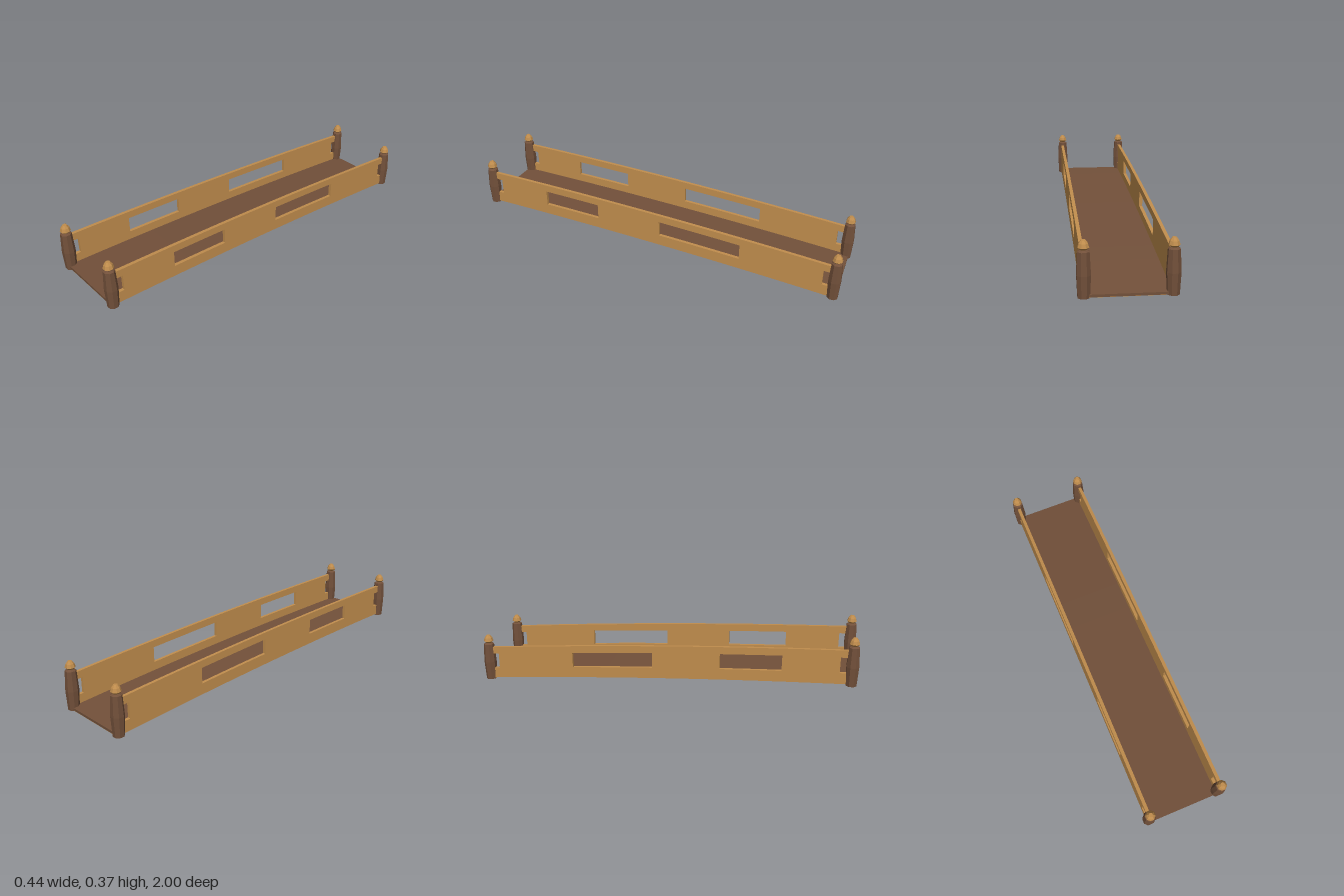
import * as THREE from 'three';

const paint = (name, color) => Object.assign(new THREE.MeshStandardMaterial({ color }), { name });

// Height of the gently arched underside at depth z
const rise = (z) => 0.083 + 0.066 * z - 0.0155 * z * z;
const at = (z, h) => new THREE.Vector2(z, rise(z) + h);

// Points following the arch from z0 to z1 at height h above the underside
function along(z0, z1, h, steps = 12) {
  return Array.from({ length: steps + 1 }, (_, i) => at(z0 + ((z1 - z0) * i) / steps, h));
}

const band = (z0, z1, low, high, steps) => [...along(z0, z1, low, steps), ...along(z1, z0, high, steps)];

// Extrude a (z, y) profile across x, from x0 to x1
function acrossX(shape, x0, x1) {
  const g = new THREE.ExtrudeGeometry(shape, { depth: x1 - x0, bevelEnabled: false });
  g.rotateY(-Math.PI / 2);
  return g.translate(x1, 0, 0);
}

// Eight-sided turned part with a flat face to the front; radii are measured to the flats
function turned(profile) {
  const k = 1 / Math.cos(Math.PI / 8);
  const points = profile.map(([r, y]) => new THREE.Vector2(r * k, y));
  const g = new THREE.LatheGeometry(points, 8, Math.PI / 8).toNonIndexed();
  g.computeVertexNormals();
  return g;
}

export function createModel() {
  const model = new THREE.Group();
  model.name = 'footbridge';
  const darkWood = paint('dark wood', 0x72503a);
  const goldWood = paint('golden wood', 0xc08d4d);

  const add = (parent, name, geometry, material) => {
    const mesh = new THREE.Mesh(geometry, material);
    mesh.name = name;
    parent.add(mesh);
    return mesh;
  };

  // Sloping walkway with a golden underside
  const deckEnd = 0.986, inner = 0.183, outer = 0.2;
  add(model, 'deck', acrossX(new THREE.Shape(band(-deckEnd, deckEnd, 0.001, 0.013)), -inner, inner), darkWood);
  add(model, 'deckUnderside', acrossX(new THREE.Shape(band(-deckEnd, deckEnd, 0, 0.001)), -inner, inner), goldWood);

  // Side panel: notched at both ends, with two long openings
  const end = 0.97, low = 0.058, high = 0.14;
  const panel = new THREE.Shape([
    ...along(-end, end, 0),
    at(end, low), at(0.91, low), at(0.91, high), at(end, high),
    ...along(end, -end, 0.178),
    at(-end, high), at(-0.912, high), at(-0.912, low), at(-end, low),
  ]);
  for (const [z0, z1] of [[0.31, 0.625], [-0.485, -0.045]]) {
    panel.holes.push(new THREE.Path(band(z0, z1, low, high, 3)));
  }
  add(model, 'leftPanel', acrossX(panel, inner, outer), goldWood);
  add(model, 'rightPanel', acrossX(panel, -outer, -inner), goldWood);

  // Corner posts with finials
  const postShape = turned([[0, 0], [0.026, 0], [0.0305, 0.1], [0.0255, 0.201], [0.014, 0.209], [0, 0.209]]);
  const finialShape = turned([[0, 0.207], [0.013, 0.207], [0.024, 0.218], [0.019, 0.236], [0.0095, 0.25], [0, 0.25]]);
  for (const [zName, z, y] of [['front', 0.97, 0.124], ['back', -0.97, 0]]) {
    for (const [xName, x] of [['Left', 0.189], ['Right', -0.189]]) {
      const post = new THREE.Group();
      post.name = `${zName}${xName}Post`;
      add(post, 'postShaft', postShape, darkWood);
      add(post, 'finial', finialShape, goldWood);
      post.position.set(x, y, z);
      model.add(post);
    }
  }
  return model;
}
